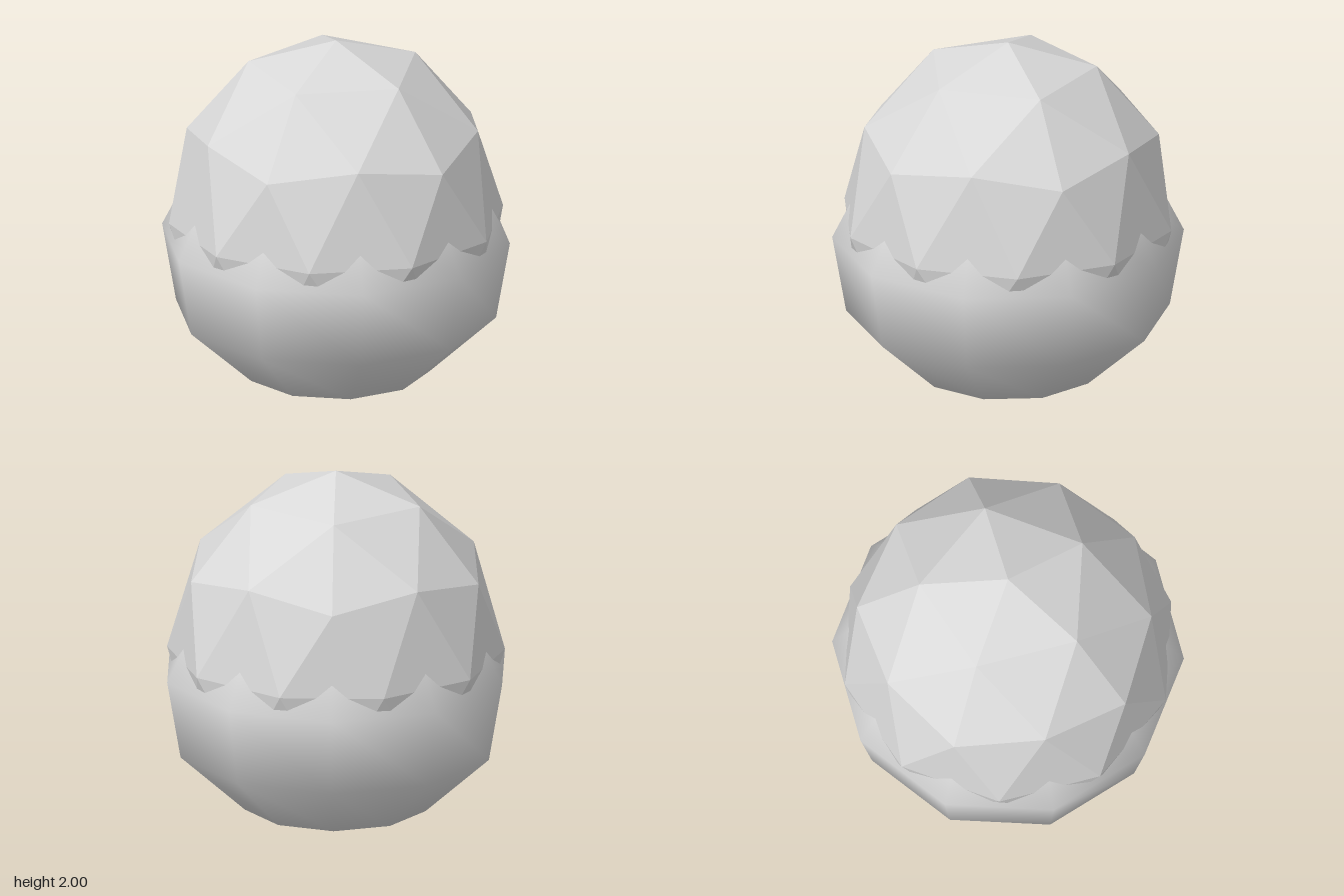
import * as THREE from 'three';

export function createModel() {
  const model = new THREE.Group();
  model.name = 'facetedBallInCup';

  const grey = new THREE.MeshStandardMaterial({ color: 0xd9d9d9 });
  grey.name = 'lightGrey';

  // Faceted ball: icosphere turned to stand on a corner, slightly narrowed
  const golden = (1 + Math.sqrt(5)) / 2;
  const ballGeometry = new THREE.IcosahedronGeometry(1, 1);
  ballGeometry.rotateZ(-Math.atan(1 / golden));
  ballGeometry.scale(0.907, 1, 0.907);
  ballGeometry.computeVertexNormals(); // unshared corners give flat facets
  const ball = new THREE.Mesh(ballGeometry, grey);
  ball.name = 'facetedBall';
  ball.position.y = 1;
  model.add(ball);

  // Smooth ten-sided cup; its upper part closes inside the ball
  const profile = [
    [0, 0.085], [0.51, 0.13], [0.87, 0.46], [0.945, 0.89],
    [0.75, 1.28], [0.4, 1.5], [0, 1.58],
  ].map(([r, y]) => new THREE.Vector2(r, y));
  const cup = new THREE.Mesh(new THREE.LatheGeometry(profile, 10, Math.PI / 2), grey);
  cup.name = 'smoothCup';
  model.add(cup);

  return model;
}
